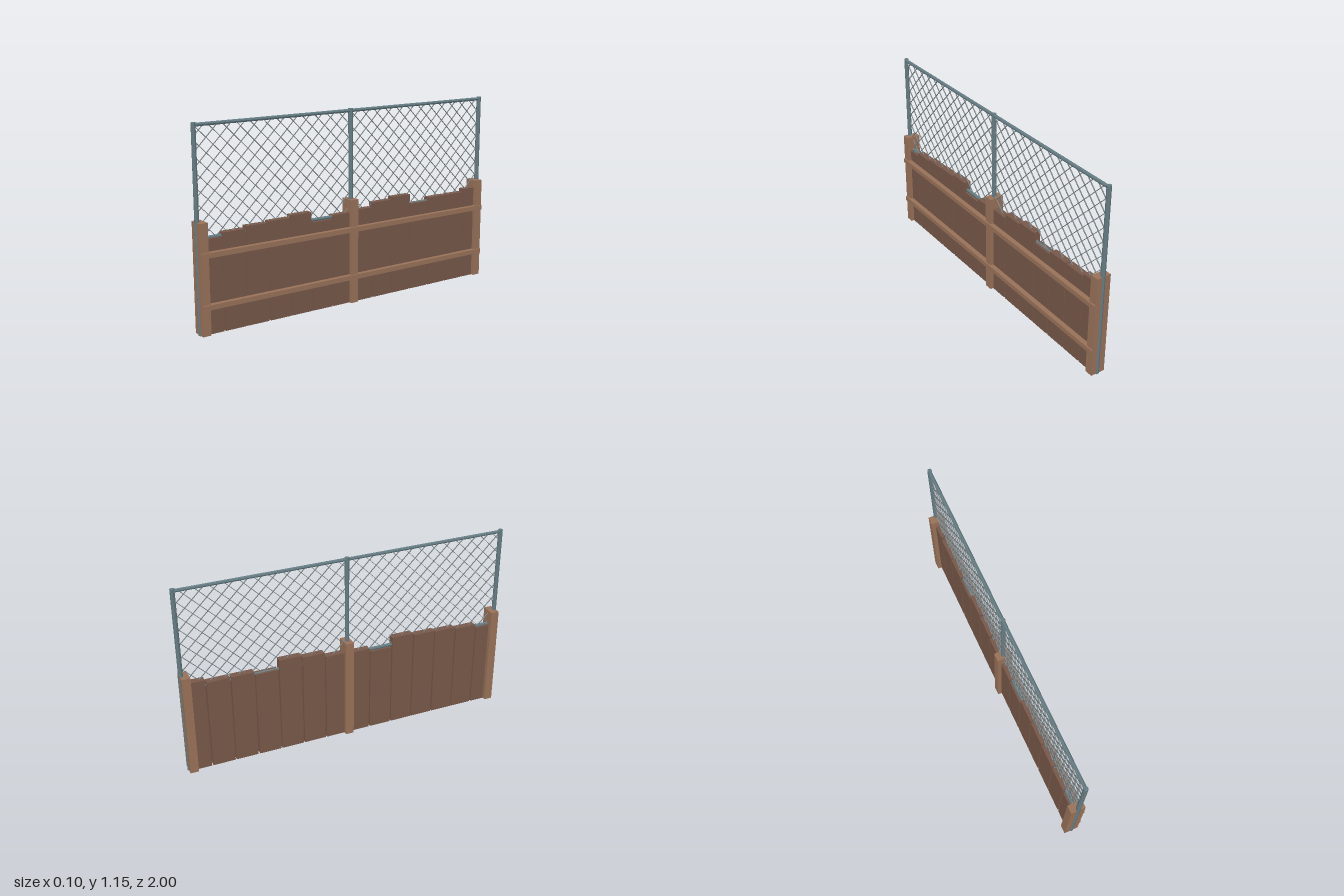
import * as THREE from 'three';

export function createModel() {
  const model = new THREE.Group();
  const mat = (name, color) => {
    const m = new THREE.MeshStandardMaterial({ color });
    m.name = name;
    return m;
  };
  const postWood = mat('light wood', 0x997259);
  const plankWood = mat('dark wood', 0x775849);
  const steel = mat('steel', 0x647b82);
  const wireGrey = mat('wire grey', 0x7a8386);
  steel.flatShading = true;

  const FRAME_X = -0.003; // plane of the steel frame and mesh

  function box(name, material, x0, x1, y0, y1, z0, z1) {
    const mesh = new THREE.Mesh(new THREE.BoxGeometry(x1 - x0, y1 - y0, z1 - z0), material);
    mesh.position.set((x0 + x1) / 2, (y0 + y1) / 2, (z0 + z1) / 2);
    mesh.name = name;
    model.add(mesh);
    return mesh;
  }

  // Places a y-aligned geometry of unit length between two points of the frame plane
  function span(name, parent, geometry, material, y0, z0, y1, z1) {
    const mesh = new THREE.Mesh(geometry, material);
    mesh.position.set(FRAME_X, (y0 + y1) / 2, (z0 + z1) / 2);
    mesh.rotation.x = Math.atan2(z1 - z0, y1 - y0);
    mesh.scale.y = Math.hypot(y1 - y0, z1 - z0);
    mesh.name = name;
    parent.add(mesh);
  }
  const poleShape = new THREE.CylinderGeometry(0.0135, 0.0135, 1, 8);
  const railShape = new THREE.CylinderGeometry(0.01, 0.01, 1, 8);
  const wireShape = new THREE.BoxGeometry(0.006, 1, 0.003);

  // Wooden posts with a steel pole at each
  for (const s of [-1, 0, 1]) {
    const c = s * 0.969;
    box('woodPost', postWood, -0.048, 0.039, 0.003, 0.625, c - 0.025, c + 0.025);
    span('steelPole', model, poleShape, steel, 0, s * 0.9865, 1.15, s * 0.9865);
  }

  // Two horizontal wooden rails
  for (const y of [0.162, 0.449]) {
    box('woodRail', postWood, 0.019, 0.048, y - 0.014, y + 0.014, -0.992, 0.992);
  }

  // Uneven planks, each leaning very slightly
  const tops = [0.532, 0.554, 0.567, 0.574, 0.588, 0.527, 0.548, 0.557, 0.585, 0.6, 0.541, 0.56, 0.56, 0.578];
  tops.forEach((top, i) => {
    const z = 0.922 - i * 0.1422;
    const plank = box('plank', plankWood, -0.024, 0.019, 0.002, top, z - 0.067, z + 0.067);
    plank.rotation.x = 0.004 * Math.sin(i * 2.4);
  });

  // Steel frame rails
  for (const y of [0.535, 1.138]) {
    span('frameRail', model, railShape, steel, y, -0.985, y, 0.985);
  }

  // Diagonal wire mesh, clipped to each panel
  const low = 0.535, high = 1.138, step = 0.082;
  for (const zMin of [-0.985, 0]) {
    const panel = new THREE.Group();
    panel.name = 'wireMesh';
    model.add(panel);
    const zMax = zMin + 0.985;
    for (const slope of [-1, 1]) {
      for (let start = zMin - 0.6; start < zMax + 0.6; start += step) {
        // z = start + slope * (y - low)
        const ends = [(zMin - start) / slope, (zMax - start) / slope].sort((a, b) => a - b);
        const t0 = Math.max(0, ends[0]);
        const t1 = Math.min(high - low, ends[1]);
        if (t1 - t0 < 0.01) continue;
        span('wire', panel, wireShape, wireGrey, low + t0, start + slope * t0, low + t1, start + slope * t1);
      }
    }
  }
  return model;
}
